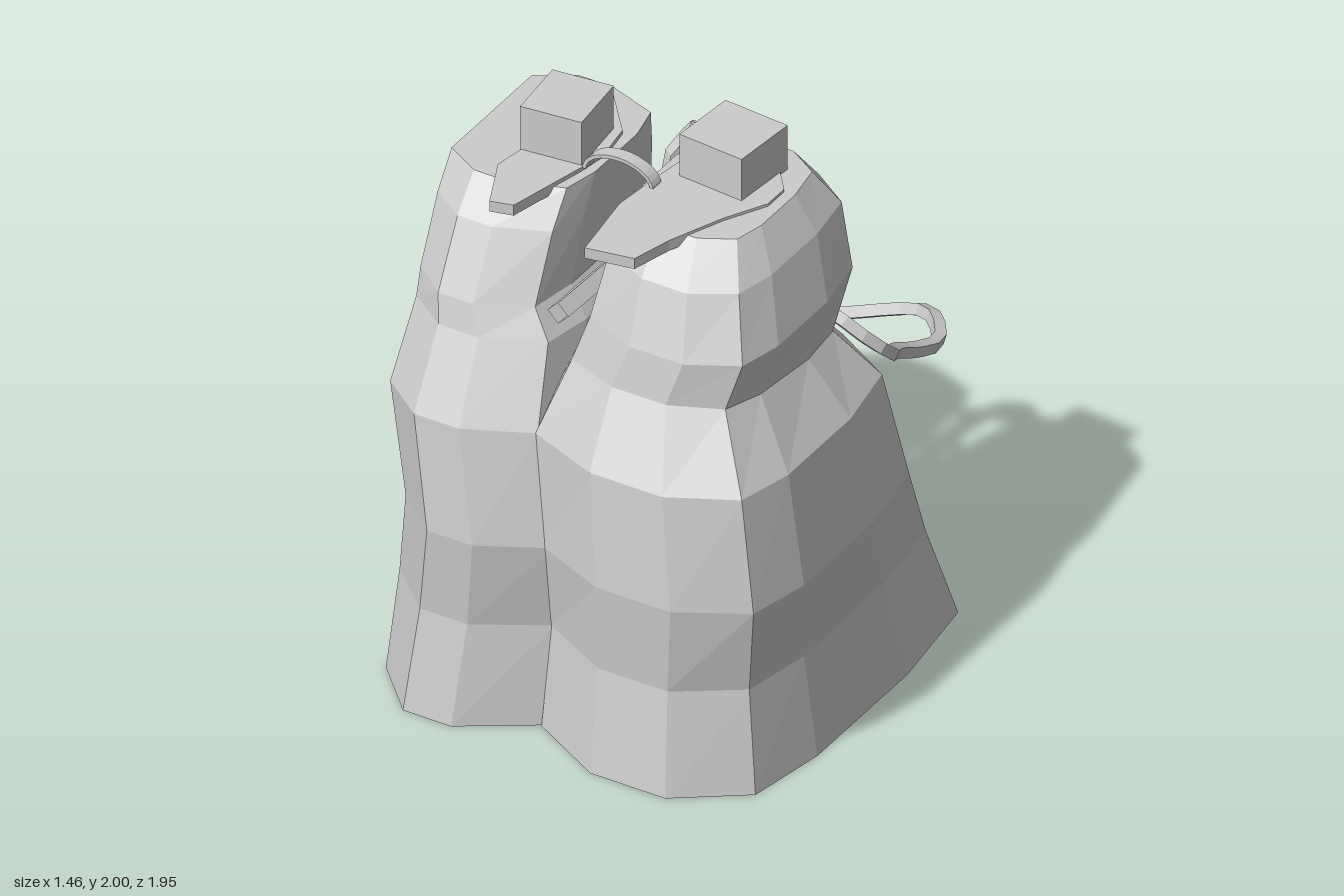
import * as THREE from 'three';

const material = new THREE.MeshStandardMaterial({ color: 0xcccccc, flatShading: true, side: THREE.DoubleSide });

function add(group, name, geometry) {
  const mesh = new THREE.Mesh(geometry, material);
  mesh.name = name;
  group.add(mesh);
  return mesh;
}

// Closed loft: each ring [y, x0, x1, z0, z1, tilt] scales a unit outline
function loft(outline, rings) {
  const n = outline.length, pos = [], index = [];
  for (const [y, x0, x1, z0, z1, tilt = 0] of rings) {
    for (const [u, v] of outline) {
      pos.push((x0 + x1) / 2 + u * (x1 - x0) / 2, y + tilt * v, (z0 + z1) / 2 + v * (z1 - z0) / 2);
    }
  }
  for (let r = 0; r < rings.length - 1; r++) {
    for (let i = 0; i < n; i++) {
      const a = r * n + i, b = r * n + (i + 1) % n;
      index.push(a, a + n, b, b, a + n, b + n);
    }
  }
  const last = rings.length - 1, bottom = n * rings.length, top = bottom + 1;
  for (const r of [0, last]) {
    const [y, x0, x1, z0, z1] = rings[r];
    pos.push((x0 + x1) / 2, y, (z0 + z1) / 2);
  }
  for (let i = 0; i < n; i++) {
    const j = (i + 1) % n;
    index.push(bottom, i, j, top, last * n + j, last * n + i);
  }
  const g = new THREE.BufferGeometry();
  g.setAttribute('position', new THREE.Float32BufferAttribute(pos, 3));
  g.setIndex(index);
  g.computeVertexNormals();
  return g;
}

// Flat slab with its outline in x, z
function slab(points, thickness) {
  const shape = new THREE.Shape(points.map(([x, z]) => new THREE.Vector2(x, z)));
  return new THREE.ExtrudeGeometry(shape, { depth: thickness, bevelEnabled: false }).rotateX(Math.PI / 2);
}

// Four-sided rope along points
function rope(points, radius) {
  const curve = new THREE.CatmullRomCurve3(points.map(p => new THREE.Vector3(...p)), false, 'centripetal');
  return new THREE.TubeGeometry(curve, points.length * 2, radius, 4);
}

export function createModel() {
  const model = new THREE.Group();
  model.name = 'twinRockPillars';

  // Rounded pillar with a bulging head above a narrow neck
  const roundOutline = [[-0.23, -1], [0.38, -1], [0.89, -0.76], [1, -0.27], [1, 0.42], [0.89, 0.79],
    [0.38, 1], [-0.23, 1], [-0.83, 0.81], [-1, 0.42], [-1, -0.27], [-0.83, -0.78]];
  add(model, 'roundPillar', loft(roundOutline, [
    [0, -0.2, 0.73, -0.65, 0.97],
    [0.37, -0.18, 0.68, -0.5, 0.91],
    [0.7, -0.2, 0.725, -0.31, 0.935],
    [1.1, -0.24, 0.66, -0.23, 0.89],
    [1.3, -0.16, 0.51, -0.12, 0.74, 0.045],
    [1.5, -0.11, 0.555, -0.17, 0.71],
    [1.71, -0.08, 0.485, -0.2, 0.62],
    [1.83, -0.05, 0.4, -0.12, 0.48],
  ]));

  // Straighter pillar with one flat outer side
  const flatOutline = [[-1, -0.75], [-0.45, -1], [0.11, -1], [0.88, -0.8], [1, -0.4],
    [1, 0.4], [0.88, 0.8], [0.11, 1], [-0.45, 1], [-1, 0.77]];
  add(model, 'flatPillar', loft(flatOutline, [
    [0, -0.73, -0.08, -0.65, 0.97],
    [0.37, -0.7, -0.06, -0.5, 0.91],
    [0.7, -0.65, -0.04, -0.31, 0.935],
    [1.1, -0.725, -0.12, -0.2, 0.89],
    [1.37, -0.7, -0.16, -0.17, 0.75],
    [1.47, -0.7, -0.23, -0.17, 0.72],
    [1.7, -0.7, -0.23, -0.17, 0.6],
    [1.82, -0.7, -0.23, -0.15, 0.5],
  ]));

  // Thin overhanging slabs on the tops
  add(model, 'leftSlab', slab([[-0.47, -0.1], [-0.41, -0.1], [-0.27, 0.07], [-0.25, 0.2], [-0.27, 0.33],
    [-0.31, 0.5], [-0.34, 0.63], [-0.42, 0.65], [-0.51, 0.45], [-0.49, 0.33], [-0.54, 0.12], [-0.53, -0.05]], 0.04))
    .position.y = 1.835;
  add(model, 'rightSlab', slab([[0.08, -0.13], [0.23, -0.08], [0.28, 0], [0.36, 0.1], [0.36, 0.2], [0.28, 0.35],
    [0.2, 0.55], [0.16, 0.7], [-0.01, 0.73], [-0.05, 0.45], [-0.03, 0.25], [0, 0.05]], 0.04))
    .position.y = 1.84;

  // Blocks standing on the slabs
  for (const [name, x, z, w, d, turn] of [
    ['leftBlock', -0.397, 0.207, 0.22, 0.24, 0.1],
    ['rightBlock', 0.165, 0.095, 0.25, 0.25, -0.09],
  ]) {
    const block = add(model, name, new THREE.BoxGeometry(w, 0.18, d));
    block.position.set(x, 1.91, z);
    block.rotation.y = turn;
  }

  // Thin arched strap bridging the gap
  const arch = new THREE.Shape();
  arch.absellipse(0, 0, 0.135, 0.085, 0, Math.PI, false);
  arch.absellipse(0, 0, 0.122, 0.072, Math.PI, 0, true);
  add(model, 'archStrap', new THREE.ExtrudeGeometry(arch, { depth: 0.05, bevelEnabled: false, curveSegments: 8 }))
    .position.set(-0.135, 1.83, 0.27);

  // Rope lying in the gap and climbing to the round top
  add(model, 'gapRope', rope([[-0.16, 1.49, 0.65], [-0.15, 1.49, 0.3], [-0.13, 1.5, 0.1], [-0.14, 1.56, 0],
    [-0.14, 1.73, -0.06], [-0.09, 1.79, -0.1], [-0.05, 1.85, -0.03], [0, 1.85, 0.02]], 0.04));

  // Rope along the rear ledge, trailing out behind
  add(model, 'trailingRope', rope([[-0.24, 1.16, -0.16], [-0.08, 1.17, -0.18], [0.1, 1.18, -0.22], [0.3, 1.17, -0.24],
    [0.43, 1.08, -0.28], [0.48, 0.99, -0.36], [0.43, 0.92, -0.47], [0.42, 0.86, -0.57], [0.42, 0.79, -0.75],
    [0.36, 0.78, -0.85], [0.25, 0.75, -0.94], [-0.05, 0.64, -0.93]], 0.028));

  return model;
}
